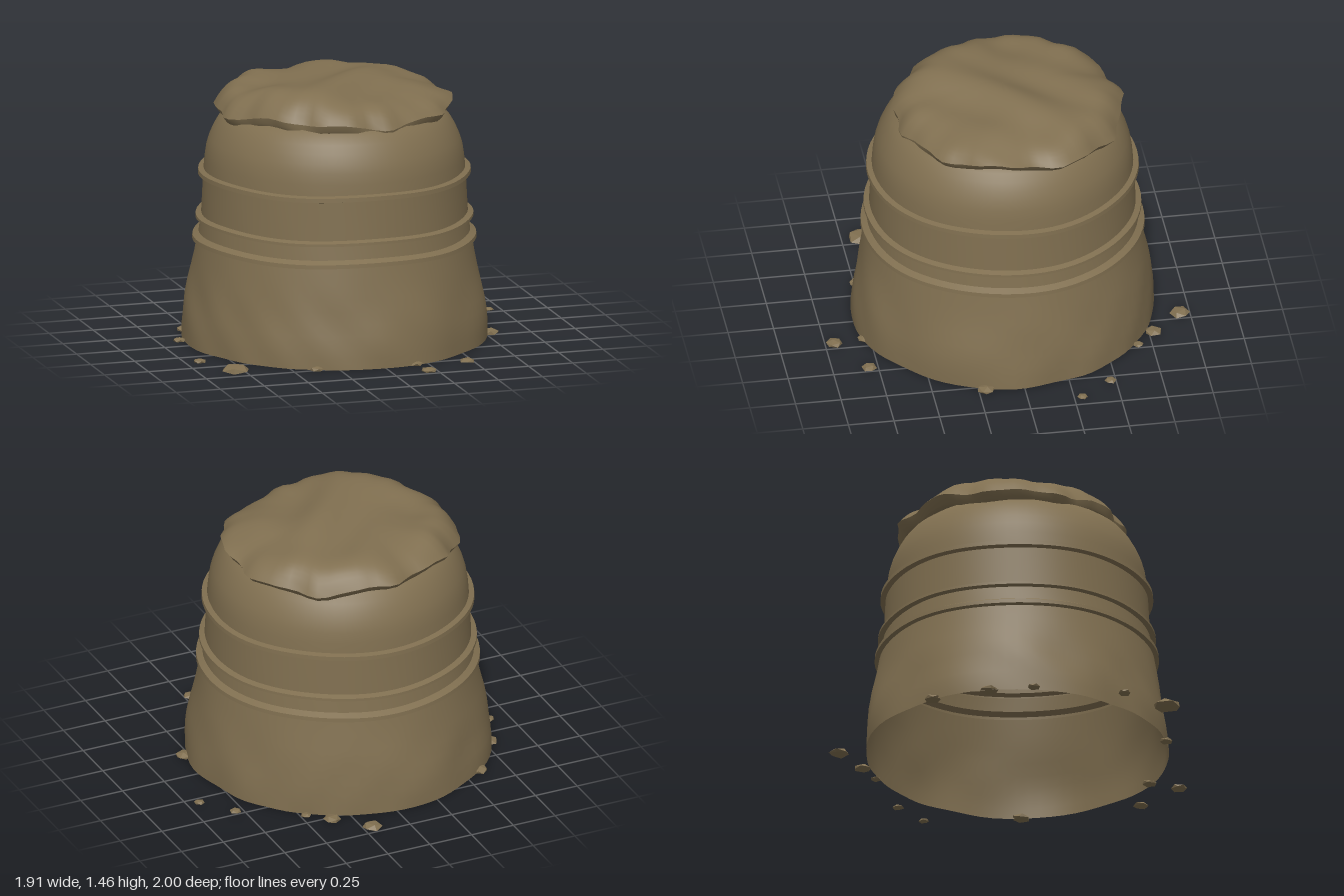
import * as THREE from 'three';
import { toCreasedNormals } from 'three/addons/utils/BufferGeometryUtils.js';

const CX = -0.035, CZ = -0.01;

// Smooth lumpy noise from layered sines
function lump(x, y, z) {
  return 0.5 * Math.sin(5.1 * x + 1.3 + 2 * Math.sin(3.7 * z + y))
    + 0.3 * Math.sin(8.3 * z - 4 * y + 1.5 * Math.sin(6.1 * x))
    + 0.2 * Math.sin(13 * x + 11 * z + 9 * y);
}

// Cap outline radius, every 22.5 degrees from +x towards +z
const OUTLINE = [0.64, 0.64, 0.61, 0.58, 0.59, 0.59, 0.58, 0.60, 0.64, 0.65, 0.65, 0.63, 0.65, 0.65, 0.66, 0.67];
function outline(a) {
  const n = OUTLINE.length, f = ((a / (2 * Math.PI)) * n + n) % n;
  const i = Math.floor(f), k = f - i, s = k * k * (3 - 2 * k);
  return OUTLINE[i % n] * (1 - s) + OUTLINE[(i + 1) % n] * s + 0.012 * Math.sin(11 * a) + 0.008 * Math.sin(19 * a + 1);
}

// Closed-around surface from rings of points
function ringSurface(rows, segs, point) {
  const pos = [], idx = [];
  for (let i = 0; i < rows; i++) {
    for (let j = 0; j < segs; j++) pos.push(...point(i / (rows - 1), (j / segs) * Math.PI * 2));
  }
  for (let i = 0; i < rows - 1; i++) {
    for (let j = 0; j < segs; j++) {
      const k = (j + 1) % segs, a = i * segs + j, b = i * segs + k, c = a + segs, d = b + segs;
      idx.push(a, b, c, b, d, c);
    }
  }
  const g = new THREE.BufferGeometry();
  g.setAttribute('position', new THREE.Float32BufferAttribute(pos, 3));
  g.setIndex(idx);
  return toCreasedNormals(g, 0.7);
}

export function createModel() {
  const model = new THREE.Group();
  const earth = new THREE.MeshStandardMaterial({ color: 0x806f50, side: THREE.DoubleSide });
  const add = (name, geo, x = 0, y = 0, z = 0) => {
    const m = new THREE.Mesh(geo, earth);
    m.name = name;
    m.position.set(x, y, z);
    model.add(m);
    return m;
  };

  // Hollow shell: flared skirt, drum with three ridges, rounded shoulder and dome
  const profile = [
    [0.825, 0], [0.823, 0.06], [0.818, 0.12], [0.81, 0.18], [0.80, 0.24], [0.788, 0.31], [0.775, 0.38], [0.76, 0.46], [0.745, 0.545],
    [0.77, 0.55], [0.768, 0.572], [0.735, 0.59],
    [0.725, 0.665], [0.753, 0.67], [0.752, 0.685], [0.722, 0.695],
    [0.717, 0.80], [0.712, 0.905], [0.74, 0.912], [0.738, 0.935], [0.709, 0.942],
    [0.704, 1.0], [0.695, 1.06], [0.68, 1.11], [0.658, 1.16], [0.632, 1.205], [0.60, 1.245], [0.55, 1.28],
    [0.46, 1.315], [0.33, 1.345], [0.17, 1.36], [0.001, 1.365],
  ].map(p => new THREE.Vector2(...p));
  const shell = new THREE.LatheGeometry(profile, 80);
  const p = shell.attributes.position;
  for (let i = 0; i < p.count; i++) {
    const x = p.getX(i), y = p.getY(i), z = p.getZ(i);
    const rough = y < 0.5 ? 0.016 * Math.min(1, (0.5 - y) * 4) : 0.002;
    const s = 1 + rough * lump(x * 1.3, y * 2, z * 1.3);
    p.setX(i, x * s);
    p.setZ(i, z * s);
    if (y > 0.5 && y < 1) p.setY(i, y + 0.004 * Math.sin(5 * Math.atan2(z, x)));
  }
  add('shell', toCreasedNormals(shell, 0.5), CX, 0, CZ);

  // Lumpy soil cap with an overhanging, curled-under edge
  const edgeY = a => 1.29 + 0.02 * Math.sin(3 * a + 1) + 0.012 * Math.sin(8 * a);
  add('soilCap', ringSurface(26, 72, (t, a) => {
    const r = outline(a) * (0.002 + 0.998 * Math.pow(t, 0.8));
    const x = r * Math.cos(a), z = r * Math.sin(a), e = Math.pow(t, 7);
    const top = 1.425 - 0.03 * t * t - 0.03 * x + 0.036 * lump(x * 1.2, 0, z * 1.2);
    return [x, top * (1 - e) + edgeY(a) * e, z];
  }).scale(1, 1, 1), CX, 0, CZ);
  add('capUnderside', ringSurface(5, 72, (t, a) => {
    const r = outline(a) * (1 - t) + 0.56 * t;
    return [r * Math.cos(a), edgeY(a) - 0.035 * Math.sin(t * Math.PI) - 0.02 * t, r * Math.sin(a)];
  }), CX, 0, CZ);

  // Scattered pebbles: x, z, radius
  const pebbles = [
    [0.2, -0.945, 0.057], [0.36, -0.775, 0.05], [0.47, -0.675, 0.03], [0.795, -0.47, 0.033], [0.93, -0.295, 0.03],
    [0.78, 0.21, 0.052], [0.465, 0.80, 0.043], [0.2, 0.95, 0.047], [0.18, 0.78, 0.042], [-0.8, 0.64, 0.08],
    [-0.92, 0.375, 0.038], [-0.88, -0.12, 0.038], [-0.775, -0.345, 0.055], [-0.595, -0.615, 0.05], [-0.37, 0.74, 0.04],
  ];
  pebbles.forEach(([x, z, r], i) => {
    const geo = new THREE.IcosahedronGeometry(r, 0).rotateX(0.5 + i).rotateY(i * 1.7).scale(1, 0.45, 1);
    // Flatten the side resting on the ground
    const q = geo.attributes.position;
    for (let k = 0; k < q.count; k++) q.setY(k, Math.max(q.getY(k), -0.1 * r));
    geo.computeVertexNormals();
    add('pebble', geo, x, 0.1 * r, z);
  });
  return model;
}
